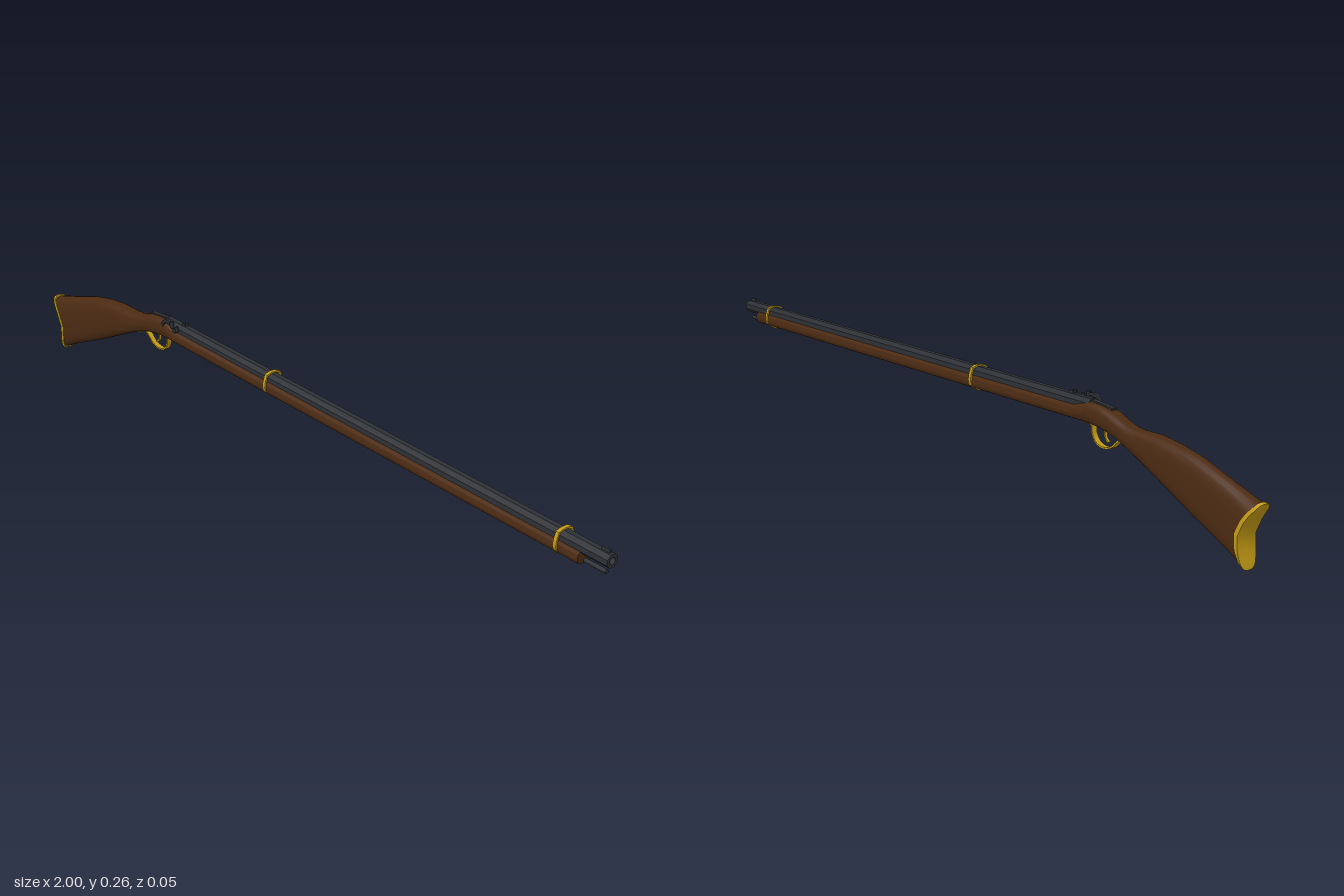
import * as THREE from 'three';
import { toCreasedNormals } from 'three/addons/utils/BufferGeometryUtils.js';

const material = (color) => new THREE.MeshStandardMaterial({ color, side: THREE.DoubleSide });
const wood = material(0x4c2b13), brass = material(0xc49c14), iron = material(0x2d3035);

function add(parent, name, geometry, mat, x = 0, y = 0, z = 0) {
  const mesh = new THREE.Mesh(geometry, mat);
  mesh.name = name;
  mesh.position.set(x, y, z);
  parent.add(mesh);
  return mesh;
}

// Crescent of the butt: x offset at height t (0 toe, 1 heel)
const crescent = new THREE.SplineCurve([[0, -0.006], [0.25, 0.001], [0.5, 0.003], [0.75, -0.016], [1, -0.044]]
  .map(([t, x]) => new THREE.Vector2(t, x)));

// Loft along x; stations are [x, bottom, top, half width, crescent weight]
function loft(stations, power = 0.65, n = 24) {
  const pos = [], index = [];
  for (const [x, lo, hi, w, bend = 0] of stations) {
    for (let k = 0; k < n; k++) {
      const a = -Math.PI / 2 + (k / n) * Math.PI * 2;
      const round = (v) => (Math.abs(v) < 1e-6 ? 0 : Math.sign(v) * Math.abs(v) ** power);
      const t = (round(Math.sin(a)) + 1) / 2;
      pos.push(x + bend * crescent.getPoint(t).y, lo + (hi - lo) * t, w * round(Math.cos(a)));
    }
  }
  const last = (stations.length - 1) * n;
  for (let i = 0; i < last; i += n) {
    for (let k = 0; k < n; k++) {
      const a = i + k, b = i + (k + 1) % n;
      index.push(a, a + n, b, b, a + n, b + n);
    }
  }
  // Caps made of left-to-right strips so they follow the crescent
  for (let k = 0; k < n / 2; k++) {
    const r = k, r2 = k + 1, l = (n - k) % n, l2 = n - k - 1;
    index.push(r, r2, l2, r, l2, l);
    index.push(last + r, last + l2, last + r2, last + r, last + l, last + l2);
  }
  const g = new THREE.BufferGeometry();
  g.setAttribute('position', new THREE.Float32BufferAttribute(pos, 3));
  g.setIndex(index);
  return toCreasedNormals(g, 0.7);
}

// Flat strip bent along a curve in the xy plane
function ribbon(points, thickness, width) {
  const curve = new THREE.SplineCurve(points.map((p) => new THREE.Vector2(...p)));
  const outer = [], inner = [];
  for (let i = 0; i <= 32; i++) {
    const p = curve.getPoint(i / 32), t = curve.getTangent(i / 32);
    const normal = new THREE.Vector2(-t.y, t.x).multiplyScalar(thickness / 2);
    outer.push(p.clone().add(normal));
    inner.unshift(p.clone().sub(normal));
  }
  const g = new THREE.ExtrudeGeometry(new THREE.Shape([...outer, ...inner]), { depth: width, bevelEnabled: false });
  return toCreasedNormals(g.translate(0, 0, -width / 2), 0.6);
}

// Extrude a zy profile along x
function alongX(shape, length) {
  return new THREE.ExtrudeGeometry(shape, { depth: length, bevelEnabled: false, curveSegments: 16 }).rotateY(Math.PI / 2);
}

export function createModel() {
  const rifle = new THREE.Group();
  rifle.name = 'rifle';

  // Stock: butt, wrist and fore-end
  add(rifle, 'stock', loft([
    [-0.948, 0.012, 0.145, 0.0245, 1], [-0.9, 0.038, 0.169, 0.0245, 0.3], [-0.82, 0.074, 0.199, 0.0245],
    [-0.75, 0.107, 0.214, 0.0235], [-0.69, 0.136, 0.221, 0.023], [-0.64, 0.16, 0.22, 0.0225],
    [-0.61, 0.174, 0.222, 0.0225], [-0.58, 0.186, 0.231, 0.0225], [-0.55, 0.195, 0.243, 0.023],
    [-0.52, 0.201, 0.25, 0.0235], [-0.48, 0.205, 0.252, 0.024], [-0.455, 0.206, 0.246, 0.024],
    [-0.43, 0.206, 0.239, 0.024], [0.3, 0.206, 0.238, 0.0235], [0.93, 0.206, 0.238, 0.0225],
  ]), wood);

  // Crescent butt plate with its short heel return
  add(rifle, 'buttPlate', loft([[-0.956, 0.004, 0.147, 0.0255, 1], [-0.947, 0.009, 0.149, 0.0255, 1]]), brass);

  // Octagonal barrel with open bore
  const octagon = new THREE.Shape(Array.from({ length: 8 }, (_, i) => {
    const a = Math.PI / 8 + (i * Math.PI) / 4;
    return new THREE.Vector2(Math.cos(a) * 0.0165, Math.sin(a) * 0.0165);
  }));
  octagon.holes.push(new THREE.Path().absarc(0, 0, 0.008, 0, Math.PI * 2, true));
  add(rifle, 'barrel', alongX(octagon, 1.48), iron, -0.48, 0.242);
  const tang = add(rifle, 'barrelTang', new THREE.BoxGeometry(0.07, 0.004, 0.012), iron, -0.513, 0.2505);
  tang.rotation.z = 0.1;

  // Front and rear sights
  add(rifle, 'frontSight', new THREE.BoxGeometry(0.022, 0.01, 0.005), iron, 0.982, 0.26);
  for (const side of [-1, 1]) {
    add(rifle, 'rearSightLeaf', new THREE.BoxGeometry(0.012, 0.008, 0.003), iron, -0.41, 0.26, side * 0.004);
  }

  // Ramrod under the barrel
  add(rifle, 'ramrod', new THREE.CylinderGeometry(0.005, 0.005, 0.12, 12).rotateZ(Math.PI / 2), iron, 0.928, 0.212);

  // Barrel bands
  const half = [[0, 0.199], [0.014, 0.205], [0.0235, 0.215], [0.0275, 0.226], [0.0255, 0.24], [0.02, 0.256], [0.01, 0.26]];
  const outline = [...half, [0, 0.2605], ...half.slice(1).reverse().map(([z, y]) => [-z, y])]
    .map(([z, y]) => new THREE.Vector2(z, y));
  for (const x of [-0.065, 0.87]) {
    const band = new THREE.Shape(outline);
    band.holes.push(new THREE.Path(outline.map((p) => new THREE.Vector2(p.x * 0.84, 0.23 + (p.y - 0.23) * 0.88)).reverse()));
    add(rifle, 'barrelBand', toCreasedNormals(alongX(band, 0.009), 0.6), brass, x - 0.0045);
  }

  // Trigger guard and trigger
  add(rifle, 'triggerGuard', ribbon([
    [-0.61, 0.173], [-0.58, 0.187], [-0.566, 0.181], [-0.548, 0.166], [-0.524, 0.159],
    [-0.499, 0.164], [-0.484, 0.182], [-0.479, 0.203], [-0.45, 0.205],
  ], 0.004, 0.013), brass);
  add(rifle, 'trigger', ribbon([[-0.523, 0.204], [-0.521, 0.19], [-0.525, 0.179], [-0.533, 0.172]], 0.004, 0.006), brass);

  // Percussion lock: hammer arm, hammer nose and nipple
  const lock = new THREE.Group();
  lock.name = 'lock';
  rifle.add(lock);
  add(lock, 'hammer', ribbon([[-0.478, 0.24], [-0.472, 0.252], [-0.46, 0.259], [-0.443, 0.258]], 0.007, 0.007), iron, 0, 0, 0.021);
  add(lock, 'hammerNose', new THREE.CylinderGeometry(0.005, 0.005, 0.016, 10), iron, -0.438, 0.256, 0.021);
  add(lock, 'nipple', new THREE.CylinderGeometry(0.003, 0.005, 0.012, 10), iron, -0.42, 0.25, 0.02);
  add(lock, 'drum', new THREE.CylinderGeometry(0.006, 0.006, 0.016, 10).rotateX(Math.PI / 2), iron, -0.424, 0.245, 0.018);

  return rifle;
}
